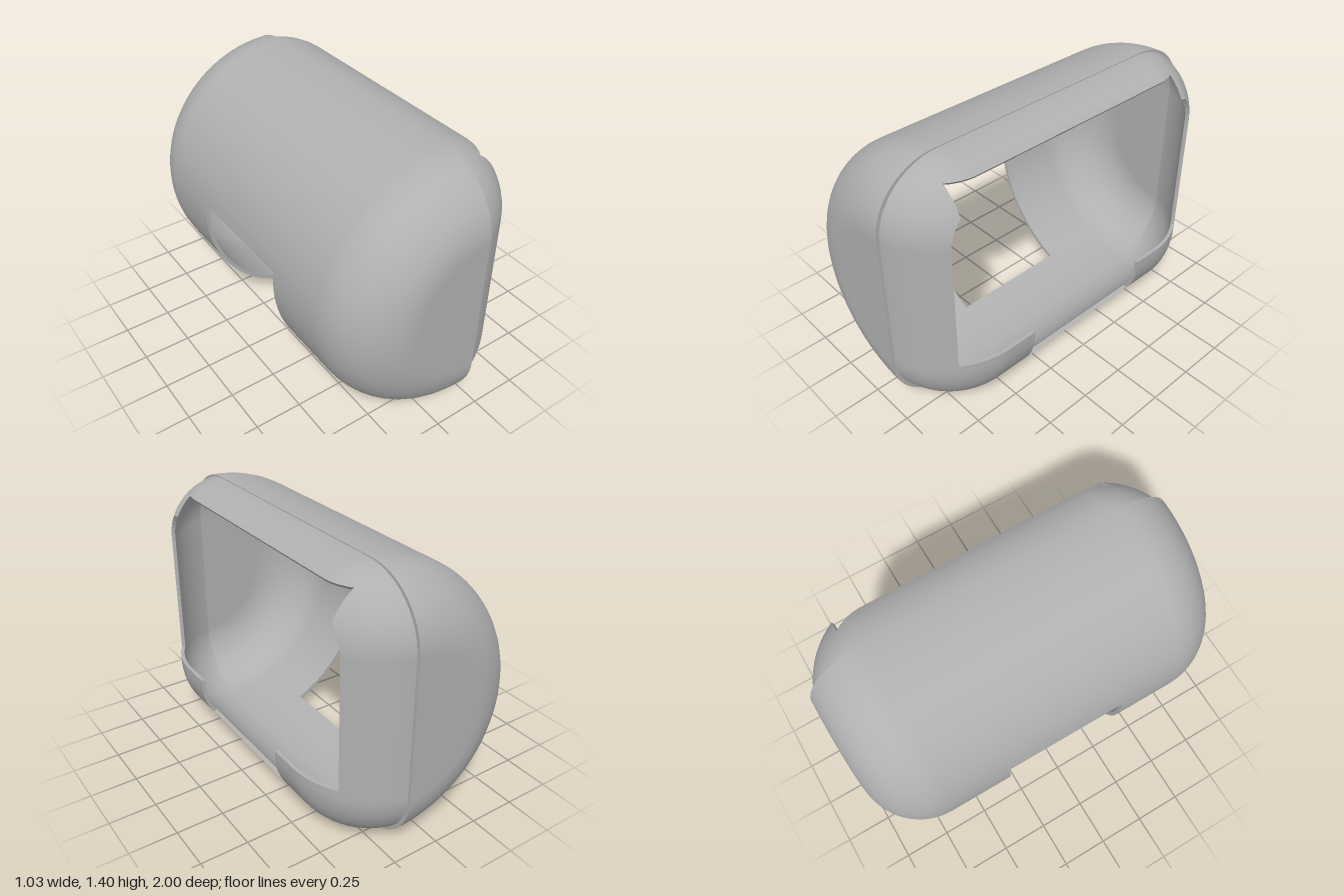
import * as THREE from 'three';

const SEAM = 0.18, MID = 0.7, WALL = 0.02;

// A vertex is [x, y, z, nx, ny, nz]
const vert = (x, y, z, nx, ny, nz) => {
  const l = Math.hypot(nx, ny, nz) || 1;
  return [x, y, z, nx / l, ny / l, nz / l];
};

// Split a polygon by one axis plane: [inside, outside]
function split(poly, [axis, sign, value]) {
  const inside = [], outside = [];
  poly.forEach((a, i) => {
    const b = poly[(i + 1) % poly.length];
    const da = sign * (a[axis] - value), db = sign * (b[axis] - value);
    if (da >= 0) inside.push(a);
    if (da <= 0) outside.push(a);
    if (da * db < 0) {
      const t = da / (da - db), c = a.map((v, k) => v + (b[k] - v) * t);
      inside.push(c);
      outside.push(c);
    }
  });
  return [inside, outside];
}

// Remove a convex box of planes from a list of polygons
function cut(polys, planes) {
  const kept = [];
  for (let poly of polys) {
    const pieces = [];
    for (const plane of planes) {
      const [inside, outside] = split(poly, plane);
      if (outside.length > 2) pieces.push(outside);
      poly = inside;
      if (poly.length < 3) break;
    }
    kept.push(...pieces);
  }
  return kept;
}

// Thin shell: outer skin, offset inner skin and rim walls along every open edge
function shell(rows, closed, cuts) {
  let polys = [];
  for (let j = 0; j < rows.length - 1; j++) {
    const n = rows[j].length;
    for (let i = 0; i < (closed ? n : n - 1); i++) {
      const k = (i + 1) % n;
      const a = rows[j][i], b = rows[j][k], c = rows[j + 1][k], d = rows[j + 1][i];
      polys.push([a, b, c], [a, c, d]);
    }
  }
  for (const planes of cuts) polys = cut(polys, planes);

  const pos = [], nor = [], edges = new Map();
  const V = (a) => new THREE.Vector3(a[0], a[1], a[2]);
  const inner = (a) => [0, 1, 2].map((k) => a[k] - WALL * a[k + 3]);
  const faceNormal = (a, b, c) => V(b).sub(V(a)).cross(V(c).sub(V(a)));
  const key = (a) => a.slice(0, 3).map((v) => Math.round(v * 1e5)).join();

  for (const poly of polys) {
    const f = new THREE.Vector3();
    for (let i = 1; i < poly.length - 1; i++) f.add(faceNormal(poly[0], poly[i], poly[i + 1]));
    if (f.length() < 1e-10) continue;
    const sum = poly.reduce((s, a) => s + f.x * a[3] + f.y * a[4] + f.z * a[5], 0);
    if (sum < 0) poly.reverse();
    for (let i = 1; i < poly.length - 1; i++) {
      const tri = [poly[0], poly[i], poly[i + 1]];
      for (const a of tri) { pos.push(...a.slice(0, 3)); nor.push(...a.slice(3)); }
      for (const a of tri.reverse()) { pos.push(...inner(a)); nor.push(-a[3], -a[4], -a[5]); }
    }
    poly.forEach((a, i) => {
      const b = poly[(i + 1) % poly.length], ka = key(a), kb = key(b);
      if (ka === kb) return;
      if (!edges.delete(kb + '|' + ka)) edges.set(ka + '|' + kb, [a, b]);
    });
  }
  for (const [a, b] of edges.values()) {
    const ai = inner(a), bi = inner(b), n = faceNormal(b, a, ai).normalize();
    for (const p of [b, a, ai, b, ai, bi]) { pos.push(p[0], p[1], p[2]); nor.push(n.x, n.y, n.z); }
  }
  const g = new THREE.BufferGeometry();
  g.setAttribute('position', new THREE.Float32BufferAttribute(pos, 3));
  g.setAttribute('normal', new THREE.Float32BufferAttribute(nor, 3));
  return g;
}

// Rear half: a filleted drum swept through half a turn
function rearRows() {
  const F = 0.33, R = 0.7, profile = [[-1, 0, -1, 0]];
  for (const side of [-1, 1]) {
    for (let i = 0; i <= 14; i++) {
      const t = (side < 0 ? i : 14 - i) / 14 * Math.PI / 2;
      const nz = side * Math.cos(t), nr = Math.sin(t);
      profile.push([side * (1 - F) + F * nz, R - F + F * nr, nz, nr]);
    }
  }
  profile.push([1, 0, 1, 0]);
  return profile.map(([z, r, nz, nr]) => Array.from({ length: 57 }, (_, i) => {
    const a = Math.PI * (0.5 + i / 56), c = Math.cos(a), s = Math.sin(a);
    return vert(SEAM + r * c, MID + r * s, z, nr * c, nr * s, nz);
  }));
}

// Front half: rounded rectangles shrinking toward +x
function frontRing(t) {
  const D = 0.335, x = SEAM + D * Math.sin(t), r = Math.max(0, D * Math.cos(t));
  return { x, r, hy: 0.36 + r, hz: 0.54 + Math.sqrt(Math.max(0, 0.46 ** 2 - (x - 0.055) ** 2)) };
}
function frontRows() {
  const N = 12, STEPS = 24, E = 1e-3, rows = [];
  const loop = (fn) => {
    const row = [];
    for (let c = 0; c < 4; c++) for (let k = 0; k <= N; k++) {
      const a = (c + k / N) * Math.PI / 2;
      row.push(fn(Math.cos(a), Math.sin(a), c === 0 || c === 3 ? 1 : -1, c < 2 ? 1 : -1));
    }
    return row;
  };
  for (let j = 0; j <= STEPS; j++) {
    const t = j / STEPS * Math.PI / 2, q = frontRing(t), p = frontRing(t - E);
    rows.push(loop((cy, cz, sy, sz) => {
      const at = (o) => [sy * (o.hy - o.r) + o.r * cy, sz * (o.hz - o.r) + o.r * cz];
      const [y, z] = at(q), [py, pz] = at(p), dx = q.x - p.x;
      return vert(q.x, MID + y, z, -((y - py) * cy + (z - pz) * cz), dx * cy, dx * cz);
    }));
  }
  // flat face at the very front
  const end = frontRing(Math.PI / 2);
  for (const [hy, hz] of [[end.hy, end.hz], [0.2, 0.38]]) {
    rows.push(loop((cy, cz, sy, sz) => vert(end.x, MID + sy * hy, sz * hz, 1, 0, 0)));
  }
  return rows;
}

export function createModel() {
  const group = new THREE.Group();
  const grey = new THREE.MeshStandardMaterial({ color: 0xb0b0b0 });
  grey.name = 'matte grey';
  const slab = (z, lo, hi) => [[2, 1, -z], [2, -1, z], [1, 1, lo], [1, -1, hi]];
  const add = (name, geometry) => {
    const mesh = new THREE.Mesh(geometry, grey);
    mesh.name = name;
    group.add(mesh);
  };
  // rear shell with a cable window low in its back
  add('rearShell', shell(rearRows(), false, [[...slab(0.33, -1, 0.78), [0, -1, -0.1]]]));
  // front rim with the main opening and a notch in the lower lip
  add('frontRim', shell(frontRows(), true, [
    [[0, 1, 0.435], [1, 1, 0.37]],
    slab(0.74, 0.37, 1.33),
    slab(0.385, 0.145, 0.371),
  ]));
  return group;
}
